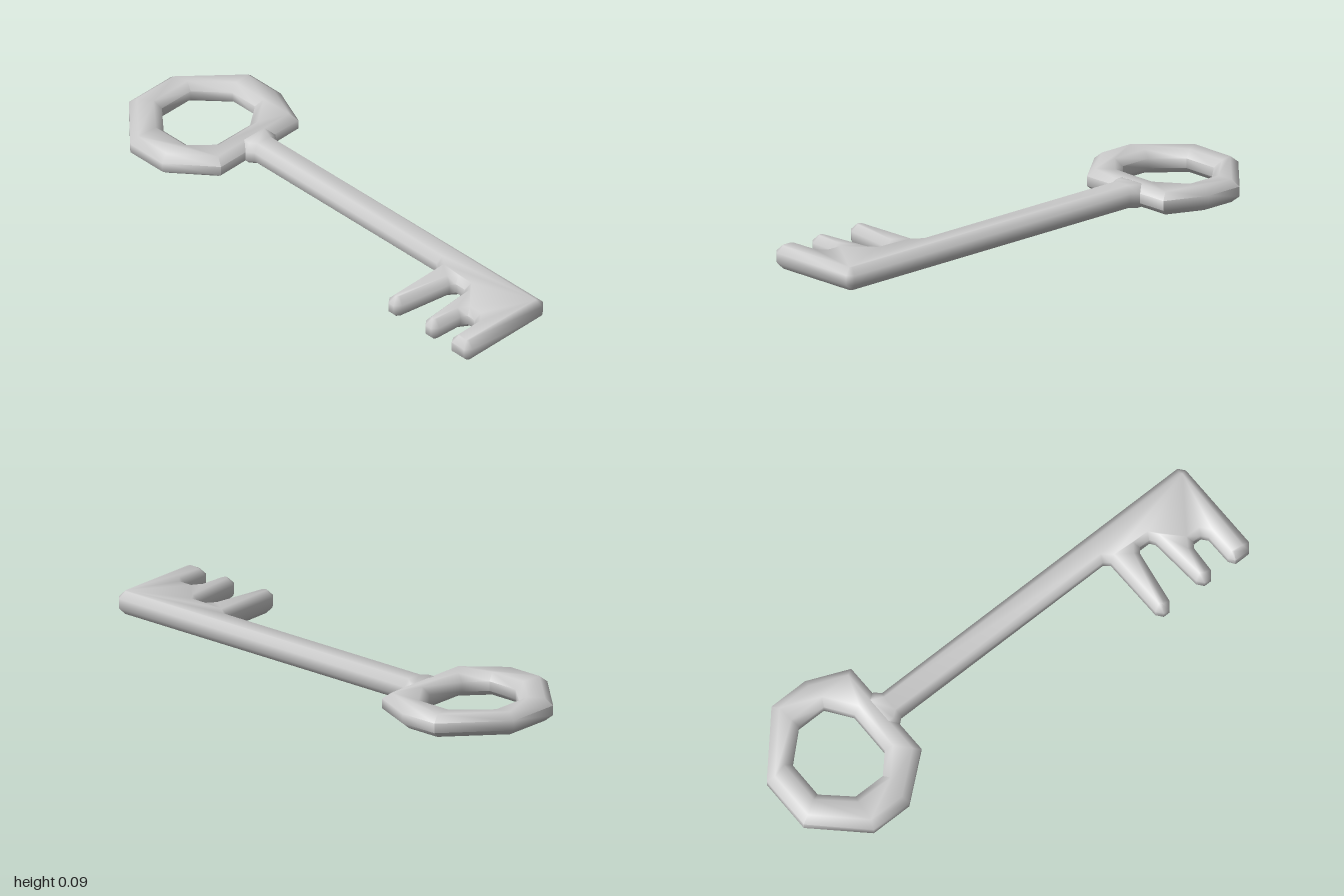
import * as THREE from 'three';
import { toCreasedNormals } from 'three/addons/utils/BufferGeometryUtils.js';

const HEIGHT = 0.09;
const material = new THREE.MeshStandardMaterial({ color: 0xcccccc });

const toPoints = (list) => list.map(([x, z]) => new THREE.Vector2(x, z));

// Flat part lying on y = 0, chamfered inward from its (x, z) outline
function chamferedPlate(name, outline, hole, chamfer) {
  const shape = new THREE.Shape(toPoints(outline));
  if (hole) shape.holes.push(new THREE.Path(toPoints(hole)));
  const rise = 0.026;
  const geometry = new THREE.ExtrudeGeometry(shape, {
    depth: HEIGHT - 2 * rise,
    bevelThickness: rise,
    bevelSize: chamfer,
    bevelOffset: -chamfer,
    bevelSegments: 1,
  });
  geometry.rotateX(Math.PI / 2);
  geometry.translate(0, HEIGHT - rise, 0);
  const mesh = new THREE.Mesh(toCreasedNormals(geometry, 1.1), material);
  mesh.name = name;
  return mesh;
}

export function createModel() {
  const key = new THREE.Group();
  key.name = 'key';

  // Eight-sided grip ring
  const ringOuter = [
    [-0.8, -0.32], [-0.64, -0.32], [-0.475, -0.25], [-0.47, 0.16],
    [-0.64, 0.3], [-0.81, 0.3], [-1, 0.12], [-1, -0.1],
  ];
  const ringInner = [
    [-0.77, -0.195], [-0.65, -0.195], [-0.58, -0.1], [-0.58, 0.08],
    [-0.65, 0.155], [-0.78, 0.155], [-0.885, 0.06], [-0.885, -0.09],
  ];
  key.add(chamferedPlate('bow', ringOuter, ringInner, 0.03));

  // Shaft with a small collar at the ring, running into the three teeth
  const shaftAndBit = [
    [-0.53, -0.125], [-0.47, -0.125], [-0.445, -0.103],
    [0.97, -0.105], [0.99, -0.08],
    // long end tooth
    [0.995, 0.29], [0.975, 0.315], [0.91, 0.315], [0.893, 0.29],
    // shallow notch
    [0.89, 0.18], [0.87, 0.157], [0.835, 0.157], [0.82, 0.18],
    // middle tooth
    [0.815, 0.285], [0.795, 0.31], [0.765, 0.31], [0.745, 0.285],
    // deep notch
    [0.725, 0.07], [0.71, 0.05], [0.665, 0.05], [0.65, 0.07],
    // inner tooth
    [0.618, 0.285], [0.597, 0.31], [0.57, 0.31], [0.55, 0.285],
    [0.543, 0.03], [0.52, 0.01],
    [-0.445, 0.01], [-0.47, 0.03], [-0.53, 0.03],
  ];
  key.add(chamferedPlate('shaftAndTeeth', shaftAndBit, null, 0.024));

  return key;
}
